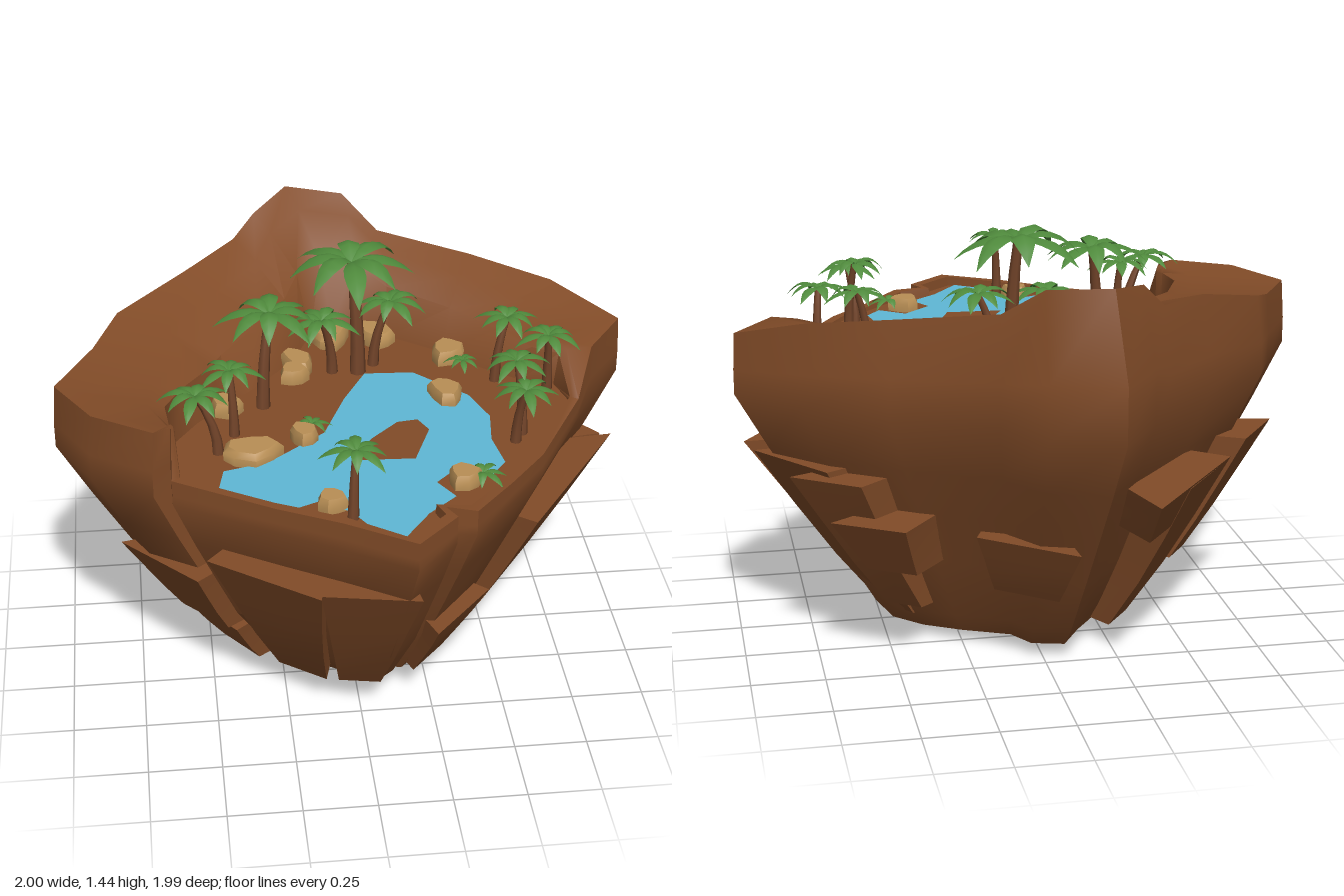
import * as THREE from 'three';
import { mergeGeometries, toCreasedNormals } from 'three/addons/utils/BufferGeometryUtils.js';

const mat = (color, extra = {}) => new THREE.MeshStandardMaterial({ color, ...extra });
const MAT = {
  earth: mat(0x824c28), stone: mat(0xb98f55), water: mat(0x5fb8d6),
  trunk: mat(0x74452a), leaf: mat(0x4f8a3c, { side: THREE.DoubleSide }),
};
const lerp = THREE.MathUtils.lerp;

// Joins rings of [x, y, z] points (counterclockwise from above, bottom to top)
function loft(rings, capTop, crease) {
  const n = rings[0].length, pos = rings.flat(2), idx = [];
  for (let i = 0; i < rings.length - 1; i++) {
    for (let j = 0; j < n; j++) {
      const k = (j + 1) % n, a = i * n + j, b = i * n + k;
      idx.push(a, b, b + n, a, b + n, a + n);
    }
  }
  const last = (rings.length - 1) * n;
  for (let j = 1; j < n - 1; j++) {
    idx.push(0, j + 1, j);
    if (capTop) idx.push(last, last + j, last + j + 1);
  }
  const g = new THREE.BufferGeometry();
  g.setAttribute('position', new THREE.Float32BufferAttribute(pos, 3));
  g.setIndex(idx);
  return toCreasedNormals(g, crease);
}

// Flat polygon in plan at height y
function plate(points, y) {
  const shape = new THREE.Shape(points.map(([x, z]) => new THREE.Vector2(x, -z)));
  return new THREE.ShapeGeometry(shape).rotateX(-Math.PI / 2).translate(0, y, 0);
}

// Island rim: outer x, outer z, top height, inner x, inner z
const RIM = [
  [0.12, 0.99, 1.02, 0.1, 0.95], [0.26, 0.85, 1.02, 0.22, 0.83], [0.23, 0.79, 1.02, 0.2, 0.77],
  [0.33, 0.81, 1.01, 0.31, 0.77], [0.47, 0.64, 1.0, 0.44, 0.62], [0.6, 0.48, 1.0, 0.57, 0.46],
  [0.79, 0.13, 1.0, 0.76, 0.11], [0.86, 0.0, 1.13, 0.73, -0.01], [1.0, -0.2, 1.13, 0.62, -0.05],
  [0.8, -0.4, 1.2, 0.5, -0.15], [0.53, -0.57, 1.24, 0.38, -0.28], [0.2, -0.74, 1.28, 0.2, -0.42],
  [0.08, -0.92, 1.38, 0.1, -0.48], [-0.15, -1.0, 1.39, 0.0, -0.5], [-0.29, -0.8, 1.36, -0.08, -0.46],
  [-0.36, -0.72, 1.28, -0.13, -0.35], [-0.55, -0.5, 1.26, -0.22, -0.2], [-0.79, -0.3, 1.2, -0.33, -0.07],
  [-0.87, -0.12, 1.16, -0.42, 0.02], [-1.0, 0.12, 1.15, -0.52, 0.13], [-0.88, 0.35, 1.16, -0.6, 0.25],
  [-0.68, 0.48, 1.16, -0.61, 0.38], [-0.62, 0.43, 1.16, -0.6, 0.42], [-0.62, 0.53, 1.01, -0.59, 0.51],
  [-0.3, 0.73, 1.01, -0.3, 0.69], [-0.1, 0.85, 1.02, -0.09, 0.81],
];
// Underside profile: height, plan scale
const PROFILE = [[0, 0.1], [0.03, 0.2], [0.06, 0.32], [0.075, 0.47], [0.15, 0.53], [0.35, 0.67],
  [0.55, 0.79], [0.72, 0.89], [0.92, 1]];
const FLOOR = 0.985;

function scaleAt(y) {
  const i = PROFILE.findIndex(([h]) => h >= y), [h0, s0] = PROFILE[i - 1], [h1, s1] = PROFILE[i];
  return lerp(s0, s1, (y - h0) / (h1 - h0));
}

function islandGeometry() {
  // The foot is tilted, lowest towards the back left
  const rings = PROFILE.map(([y, s]) => RIM.map(([x, z]) =>
    [x * s, y + (y > 0.05 && y < 0.2 ? 0.06 * s * (z - x) : 0), z * s]));
  const topScale = (t) => 1 - Math.max(0, t - 1.05) ** 2;
  rings.push(RIM.map(([x, z, t]) => [x, lerp(0.92, t, 0.4), z]));
  rings.push(RIM.map(([x, z, t]) => [x * topScale(t), t, z * topScale(t)]));
  // Crest and inner slope: steep at the low ends of the wall, gentler at the high back
  const inner = (f, g) => RIM.map(([x, z, t, ix, iz]) => {
    const steep = t < 1.17;
    const k = steep ? lerp(f, 1, 0.5) : f;
    return [lerp(x, ix, k), lerp(t, FLOOR, t < 1.1 ? 0 : steep ? g * 0.4 : g), lerp(z, iz, k)];
  });
  rings.push(inner(0.4, 0.15), inner(0.8, 0.42));
  rings.push(RIM.map(([, , , ix, iz]) => [ix, FLOOR, iz]));
  return loft(rings, false, 0.85);
}

// Rock slab hugging the underside between two plan corners
function slab([px, pz, qx, qz, yTop, yBottom]) {
  const mx = (px + qx) / 2, mz = (pz + qz) / 2;
  const ring = (y, taper) => {
    const s = scaleAt(y) / scaleAt(yTop);
    const at = (x, z, d) => [lerp(mx, x, taper) * s * d, y, lerp(mz, z, taper) * s * d];
    return [at(px, pz, 1), at(qx, qz, 1), at(qx, qz, 0.5), at(px, pz, 0.5)];
  };
  const rings = [0, 0.33, 0.66, 1].map((t) => ring(lerp(yBottom, yTop, t), lerp(0.78, 1, t)));
  return loft(rings, true, 0.5);
}

// Flat-topped boulder with an uneven outline
function boulder(x, z, rx, rz, turn) {
  const ring = (y, s) => Array.from({ length: 8 }, (_, j) => {
    const a = -j * Math.PI / 4, r = s * (1 + 0.13 * Math.sin(j * 2.3 + turn * 5));
    return [Math.cos(a) * r * rx, y, Math.sin(a) * r * rz];
  });
  return loft([ring(0, 1), ring(0.03, 1), ring(0.05, 0.8)], true, 0.8)
    .rotateY(turn).translate(x, FLOOR, z);
}

// Arched frond along +x, folded along its midrib
function frond(length, width, lift) {
  const pos = [], idx = [], n = 6;
  for (let i = 0; i <= n; i++) {
    const t = i / n, w = width * Math.sin(Math.PI * (0.06 + 0.94 * t));
    const x = length * t, y = length * (lift * t - (lift + 0.25) * t * t);
    pos.push(x, y - w * 0.35, -w, x, y, 0, x, y - w * 0.35, w);
    if (i < n) for (const a of [i * 3, i * 3 + 1]) idx.push(a, a + 1, a + 4, a, a + 4, a + 3);
  }
  const g = new THREE.BufferGeometry();
  g.setAttribute('position', new THREE.Float32BufferAttribute(pos, 3));
  g.setIndex(idx);
  g.computeVertexNormals();
  return g;
}

function crown(radius, count, turn) {
  return mergeGeometries(Array.from({ length: count }, (_, i) =>
    frond(radius * (0.92 + 0.12 * Math.sin(i * 2.4)), radius * 0.16, 0.55 + 0.25 * (i % 3))
      .rotateY(turn + i * Math.PI * 2 / count)));
}

export function createModel() {
  const root = new THREE.Group();
  const add = (name, geometry, material, parent = root) => {
    const mesh = new THREE.Mesh(geometry, material);
    mesh.name = name;
    parent.add(mesh);
    return mesh;
  };

  // Island body, floor and slabs
  add('islandBody', islandGeometry(), MAT.earth);
  add('islandFloor', plate(RIM.map((r) => [r[3], r[4]]), FLOOR), MAT.earth);
  const slabs = [
    [-0.27, -0.97, -0.63, -0.5, 0.7, 0.53], [-0.42, -0.77, -0.63, -0.49, 0.69, 0.08],
    [0.72, -0.49, 0.49, -0.63, 0.55, 0.36], [0.84, -0.38, 0.62, -0.53, 0.68, 0.16],
    [0.6, 0.46, 0.97, -0.09, 0.72, 0.1], [0.94, -0.13, 0.72, -0.42, 0.7, 0.1],
    [0.24, 0.66, 0.45, 0.42, 0.43, 0.13], [-0.52, 0.6, -0.17, 0.86, 0.74, 0.13],
    [-0.17, 0.84, 0.15, 0.9, 0.74, 0.13], [-0.8, 0.2, -0.55, 0.47, 0.57, 0.28],
    [-0.62, 0.1, -0.42, 0.36, 0.28, 0.08], [-0.72, -0.38, -0.87, -0.17, 0.72, 0.25],
    [0.25, -0.58, -0.05, -0.82, 0.5, 0.28],
  ];
  slabs.forEach((s, i) => add(`rockSlab${i + 1}`, slab(s), MAT.earth));

  // Pond with its islet
  add('pond', plate([
    [0.08, -0.14], [-0.01, 0.03], [-0.1, 0.25], [-0.3, 0.42], [-0.45, 0.46], [-0.47, 0.56], [-0.24, 0.71],
    [-0.15, 0.67], [-0.06, 0.75], [0, 0.86], [0.08, 0.92], [0.18, 0.78], [0.28, 0.69], [0.23, 0.6],
    [0.33, 0.5], [0.42, 0.57], [0.47, 0.5], [0.45, 0.35], [0.47, 0.2], [0.42, 0.05], [0.25, -0.13],
  ], FLOOR + 0.008), MAT.water);
  add('islet', plate([
    [-0.02, 0.45], [0.18, 0.46], [0.25, 0.28], [0.22, 0.21], [0.15, 0.22], [0.05, 0.32],
  ], FLOOR + 0.016), MAT.earth);

  // Boulders: x, z, radii, turn
  [
    [-0.02, -0.42, 0.07, 0.09, 0.2], [0.15, -0.4, 0.06, 0.08, 0.6], [0.39, -0.24, 0.07, 0.06, 1],
    [0.34, 0.05, 0.055, 0.075, 0.3], [-0.42, 0.06, 0.05, 0.06, 0.8], [-0.35, 0.37, 0.1, 0.07, 0.1],
    [-0.17, 0.28, 0.045, 0.055, 0.5], [-0.12, 0.7, 0.045, 0.05, 1.2], [0.32, 0.6, 0.055, 0.055, 0.9],
    [-0.15, -0.22, 0.05, 0.08, 0.4], [-0.17, -0.14, 0.05, 0.05, 1.4],
  ].forEach((b, i) => add(`boulder${i + 1}`, boulder(...b), MAT.stone));

  // Palms: crown x, y, z, frond radius, base x, base z
  [
    [0.04, 1.4, -0.2, 0.24, 0.06, -0.17], [-0.26, 1.32, 0, 0.19, -0.29, 0.04],
    [-0.41, 1.22, 0.2, 0.12, -0.4, 0.22], [-0.53, 1.21, 0.34, 0.13, -0.46, 0.33],
    [0.18, 1.23, -0.22, 0.14, 0.12, -0.22], [-0.07, 1.21, -0.14, 0.14, -0.03, -0.18],
    [0.57, 1.22, -0.08, 0.12, 0.53, -0.06], [0.69, 1.21, 0.05, 0.12, 0.7, 0.02],
    [0.54, 1.24, 0.27, 0.12, 0.56, 0.31], [0.55, 1.2, 0.4, 0.12, 0.53, 0.36],
    [-0.05, 1.22, 0.75, 0.12, -0.06, 0.77],
  ].forEach(([x, y, z, r, bx, bz], i) => {
    const palm = new THREE.Group();
    palm.name = `palm${i + 1}`;
    const rings = [0, 0.25, 0.5, 0.75, 1].map((t) => Array.from({ length: 7 }, (_, j) => {
      const a = -j * Math.PI * 2 / 7, w = lerp(0.08, 0.045, t) * (0.12 + r);
      return [lerp(bx, x, t * t) + Math.cos(a) * w, lerp(FLOOR, y, t), lerp(bz, z, t * t) + Math.sin(a) * w];
    }));
    add('trunk', loft(rings, true, 0.95), MAT.trunk, palm);
    add('fronds', crown(r, 8, i * 0.7), MAT.leaf, palm).position.set(x, y, z);
    root.add(palm);
  });

  // Low ferns beside the boulders
  [[0.38, 0.6, 0.085], [-0.14, 0.23, 0.07], [0.43, -0.15, 0.07]].forEach(([x, z, r], i) =>
    add(`fern${i + 1}`, crown(r, 7, i), MAT.leaf).position.set(x, 1.02, z));

  return root;
}
